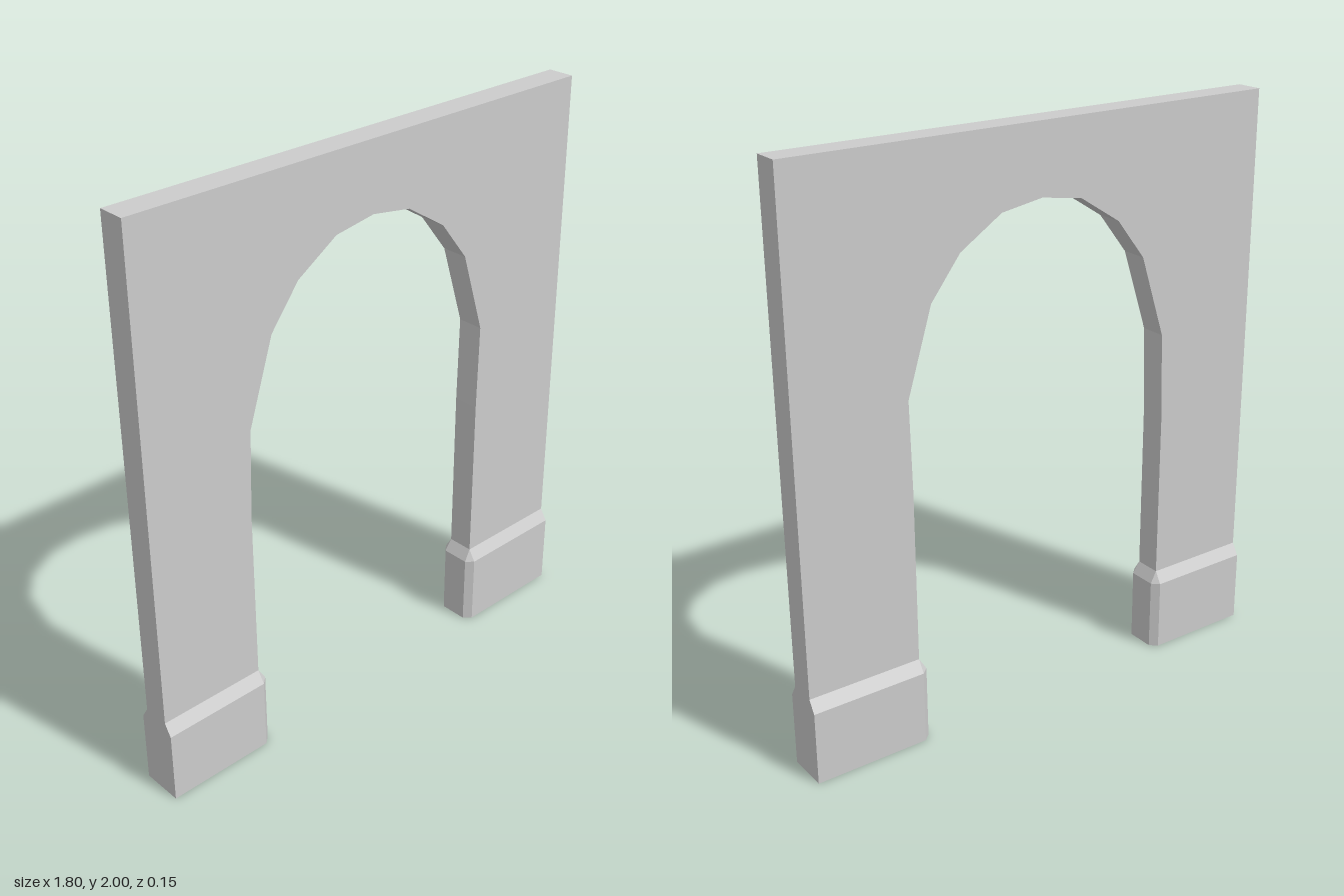
import * as THREE from 'three';

const OUTER = 0.9, WALL = 0.047, FOOT = 0.073, FOOT_TOP = 0.3;

// Closed loft through rings of [x, y, z], counter-clockwise from above, with a bottom cap
function loft(rings) {
  const n = rings[0].length, pos = [];
  const tri = (a, b, c) => pos.push(...a, ...b, ...c);
  for (let r = 0; r < rings.length - 1; r++) {
    for (let j = 0; j < n; j++) {
      const k = (j + 1) % n, lo = rings[r], hi = rings[r + 1];
      tri(lo[j], lo[k], hi[k]);
      tri(lo[j], hi[k], hi[j]);
    }
  }
  for (let j = 1; j < n - 1; j++) tri(rings[0][0], rings[0][j + 1], rings[0][j]);
  const geo = new THREE.BufferGeometry();
  geo.setAttribute('position', new THREE.Float32BufferAttribute(pos, 3));
  geo.computeVertexNormals();
  return geo;
}

// Pier foot: flared block, chamfered on its inner corners and its upper edge
function footGeometry(side, edge) {
  const ring = (y, depth, inner, innerDepth) => {
    const half = [[OUTER, depth], [OUTER, -depth], [edge, -depth],
      [inner, -innerDepth], [inner, innerDepth], [edge, depth]];
    const pts = half.map(([x, z]) => [side * x, y, z]);
    return side > 0 ? pts : pts.reverse();
  };
  const inner = edge - 0.025;
  return loft([
    ring(0, FOOT, inner, 0.05),
    ring(0.258, FOOT, inner, 0.05),
    ring(FOOT_TOP, WALL, edge, WALL),
  ]);
}

export function createModel() {
  const group = new THREE.Group();
  group.name = 'archway';
  const material = new THREE.MeshStandardMaterial({ color: 0xcccccc, flatShading: true });
  const add = (name, geo) => {
    const mesh = new THREE.Mesh(geo, material);
    mesh.name = name;
    group.add(mesh);
  };

  // Wall with a faceted arch opening; the two piers differ slightly in width
  const leftEdge = 0.497, rightEdge = 0.518;
  const arch = [[0.413, 1.5], [0.305, 1.64], [0.152, 1.738]];
  const outline = [
    [-OUTER, FOOT_TOP], [-rightEdge, FOOT_TOP], [-rightEdge, 0.9], [-0.507, 1.21],
    ...arch.map(([x, y]) => [-x, y]),
    [0, 1.762],
    ...[...arch].reverse(),
    [0.503, 1.21], [leftEdge, 0.9], [leftEdge, FOOT_TOP], [OUTER, FOOT_TOP],
    [OUTER, 2], [-OUTER, 2],
  ];
  const shape = new THREE.Shape(outline.map(([x, y]) => new THREE.Vector2(x, y)));
  const wall = new THREE.ExtrudeGeometry(shape, { depth: 2 * WALL, bevelEnabled: false });
  wall.translate(0, 0, -WALL);
  add('archWall', wall);

  // Feet under both piers
  add('leftFoot', footGeometry(1, leftEdge));
  add('rightFoot', footGeometry(-1, rightEdge));
  return group;
}
